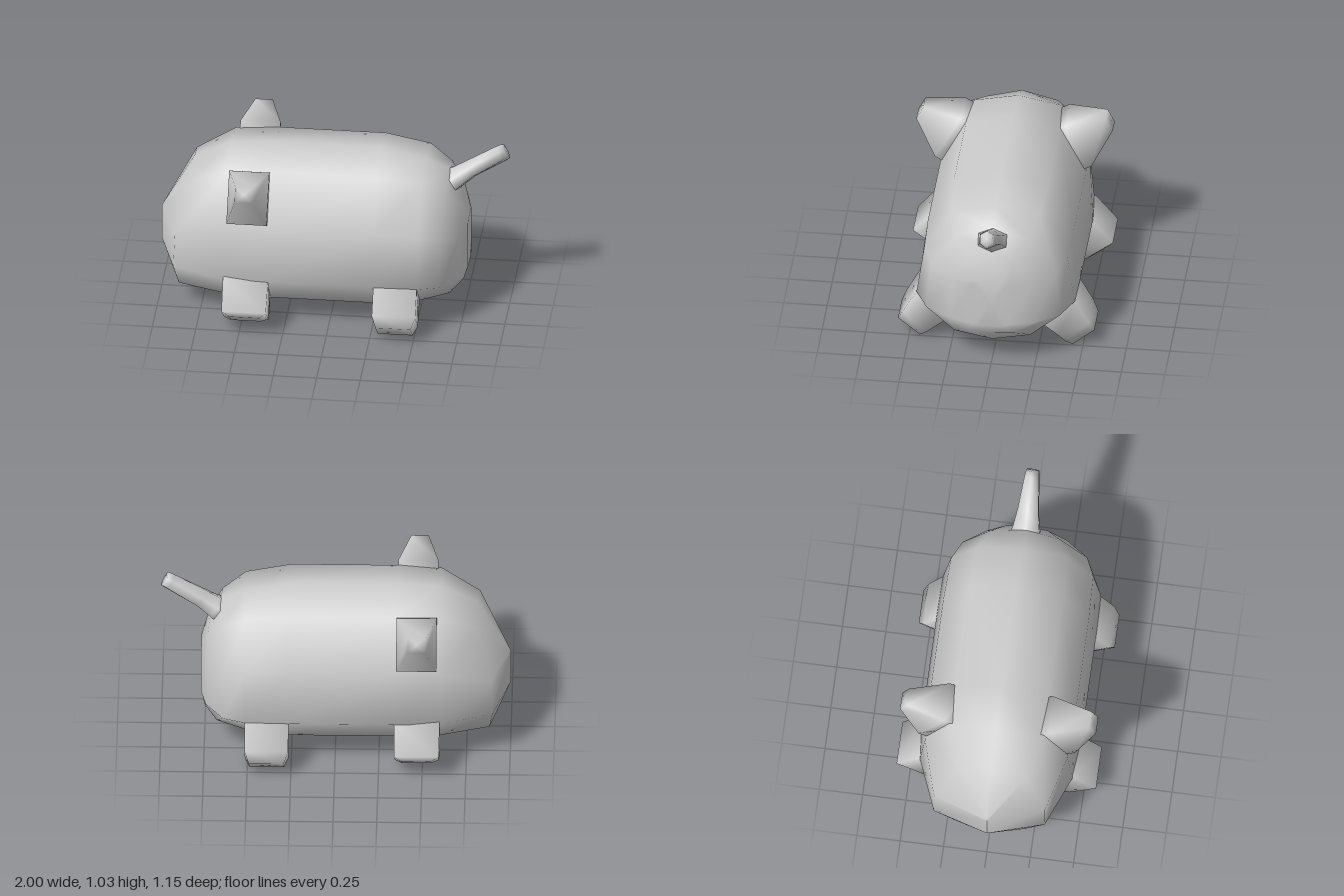
import * as THREE from 'three';

// Skin a list of equal-length rings of [x, y, z] and close both ends
function loft(name, rings) {
  const n = rings[0].length;
  const pos = rings.flat(2);
  const idx = [];
  for (let i = 0; i < rings.length - 1; i++) {
    for (let j = 0; j < n; j++) {
      const a = i * n + j, b = i * n + (j + 1) % n, c = a + n, d = b + n;
      idx.push(a, b, c, b, d, c);
    }
  }
  [0, rings.length - 1].forEach((r, end) => {
    const centre = pos.length / 3;
    for (let k = 0; k < 3; k++) pos.push(rings[r].reduce((s, p) => s + p[k], 0) / n);
    for (let j = 0; j < n; j++) {
      const a = r * n + j, b = r * n + (j + 1) % n;
      if (end) idx.push(centre, a, b);
      else idx.push(centre, b, a);
    }
  });
  const geo = new THREE.BufferGeometry();
  geo.setAttribute('position', new THREE.Float32BufferAttribute(pos, 3));
  geo.setIndex(idx);
  geo.computeVertexNormals();
  const mesh = new THREE.Mesh(geo, new THREE.MeshStandardMaterial({ color: 0xcccccc }));
  mesh.name = name;
  return mesh;
}

// Half section, top to bottom, completed by mirroring across z = 0
const fullRing = (half) => [...half, ...half.slice(1, -1).reverse().map(([x, y, z]) => [x, y, -z])];

// Section in one x plane: heights and half widths of the six profile points
const flatRing = (x, ys, zs) => fullRing(ys.map((y, i) => [x, y, zs[i]]));

// Four-sided limb on the +z side; each section is [x0, x1, lowY, lowZ, highY, highZ]
function limb(name, sections, side) {
  const rings = sections.map(([x0, x1, ly, lz, hy, hz]) => {
    const ring = [[x0, ly, lz], [x1, ly, lz], [x1, hy, hz], [x0, hy, hz]];
    return side > 0 ? ring : ring.reverse().map(([x, y, z]) => [x, y, -z]);
  });
  return loft(name, rings);
}

export function createModel() {
  const model = new THREE.Group();
  model.name = 'pig';

  // Body: wedge-shaped head at -x, long barrel, rounded rump at +x
  const barrelY = [0.98, 0.92, 0.63, 0.31, 0.105, 0.07];
  const barrelZ = [0, 0.27, 0.42, 0.46, 0.27, 0];
  model.add(loft('body', [
    flatRing(-1, [0.52, 0.52, 0.52, 0.31, 0.31, 0.31], [0, 0, 0, 0, 0, 0]),
    fullRing([[-0.81, 0.86, 0], [-0.82, 0.8, 0.2], [-0.89, 0.52, 0.32],
      [-0.9, 0.3, 0.32], [-0.88, 0.13, 0.2], [-0.88, 0.11, 0]]),
    flatRing(-0.6, [0.96, 0.905, 0.63, 0.3, 0.115, 0.085], [0, 0.27, 0.41, 0.44, 0.27, 0]),
    flatRing(-0.35, barrelY, barrelZ),
    flatRing(0.26, barrelY, barrelZ),
    flatRing(0.52, [0.92, 0.88, 0.62, 0.31, 0.13, 0.1], [0, 0.25, 0.41, 0.455, 0.25, 0]),
    fullRing([[0.66, 0.86, 0], [0.65, 0.8, 0.2], [0.64, 0.58, 0.36],
      [0.64, 0.29, 0.385], [0.68, 0.17, 0.22], [0.71, 0.145, 0]]),
    fullRing([[0.72, 0.75, 0], [0.73, 0.7, 0.12], [0.74, 0.55, 0.23],
      [0.74, 0.29, 0.24], [0.75, 0.22, 0.13], [0.75, 0.21, 0]]),
    flatRing(0.77, [0.57, 0.57, 0.55, 0.28, 0.27, 0.27], [0, 0.06, 0.1, 0.1, 0.06, 0]),
  ]));

  for (const side of [1, -1]) {
    const label = side > 0 ? 'Left' : 'Right';

    // Hind legs, splayed outward
    model.add(limb('hindLeg' + label, [
      [0.27, 0.51, 0.16, 0.24, 0.36, 0.38],
      [0.265, 0.515, 0.065, 0.365, 0.31, 0.455],
      [0.265, 0.515, 0.035, 0.4, 0.165, 0.535],
      [0.29, 0.49, 0, 0.44, 0.105, 0.565],
    ], side));

    // Front legs, a little shorter with rounder feet
    model.add(limb('frontLeg' + label, [
      [-0.59, -0.35, 0.16, 0.24, 0.36, 0.38],
      [-0.6, -0.34, 0.075, 0.36, 0.31, 0.45],
      [-0.595, -0.34, 0.045, 0.42, 0.165, 0.575],
      [-0.55, -0.38, 0.055, 0.47, 0.125, 0.56],
    ], side));

    // Ears, tapering to a narrow outward tip
    model.add(limb('ear' + label, [
      [-0.58, -0.35, 0.62, 0.36, 0.88, 0.2],
      [-0.58, -0.35, 0.67, 0.45, 0.935, 0.3],
      [-0.52, -0.42, 0.875, 0.565, 0.955, 0.525],
    ], side));
  }

  // Tail: a tapered six-sided stub rising from the rump
  const tailRing = (x, y, r, rz) => Array.from({ length: 6 }, (_, i) => {
    const a = i * Math.PI / 3, u = r * Math.cos(a);
    return [x - 0.5 * u, y + 0.86 * u, rz * Math.sin(a) / 0.866];
  });
  model.add(loft('tail', [
    tailRing(0.62, 0.76, 0.09, 0.1),
    tailRing(0.7, 0.81, 0.065, 0.075),
    tailRing(0.78, 0.87, 0.055, 0.06),
    tailRing(0.95, 0.975, 0.053, 0.042),
    tailRing(0.977, 0.992, 0.05, 0.036),
  ]));

  return model;
}
